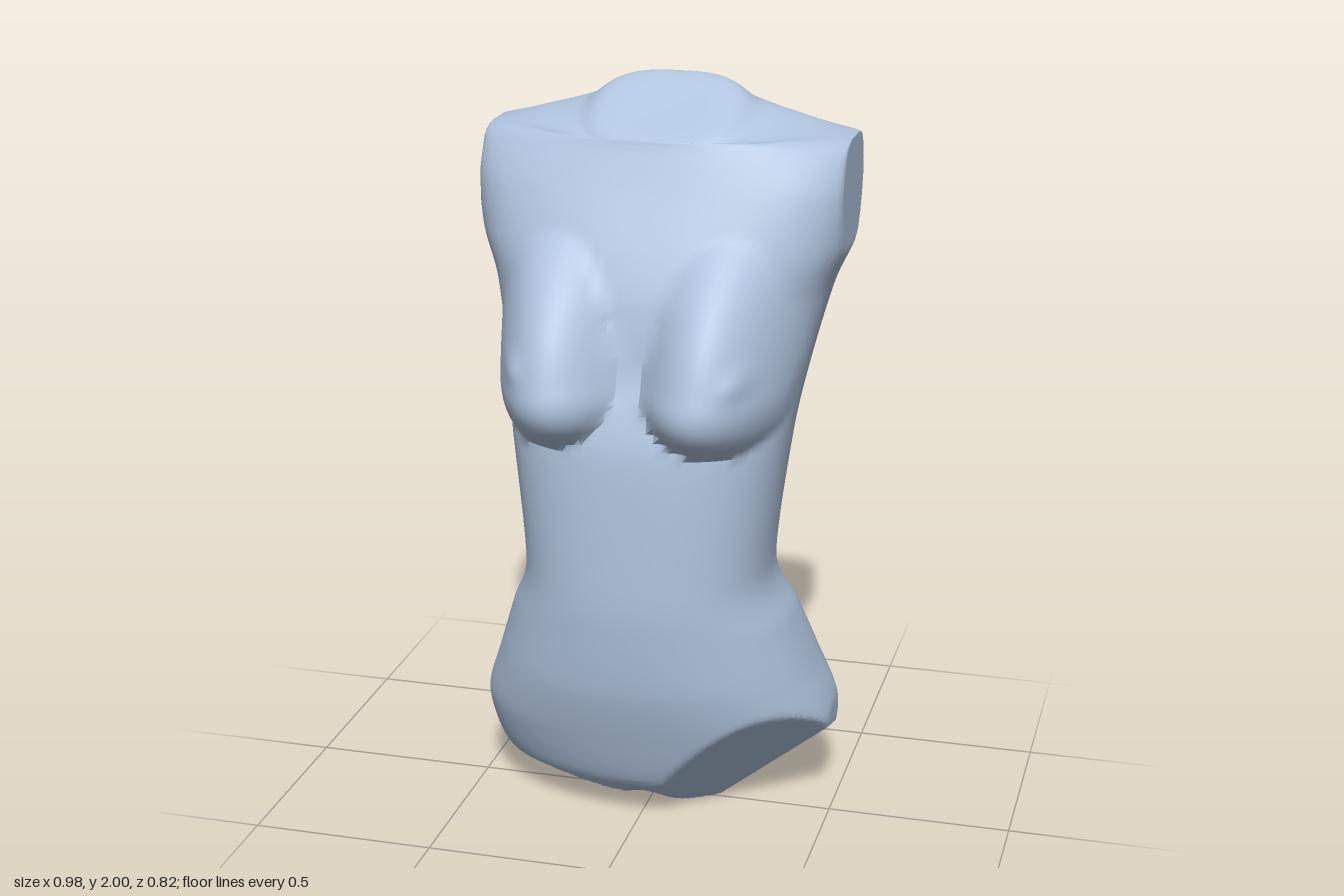
import * as THREE from 'three';
import { toCreasedNormals } from 'three/addons/utils/BufferGeometryUtils.js';

// Cross-sections from bottom to top:
// height, half width, front z, side z, back z, front and back squareness
const SECTIONS = [
  [0.00, 0.02, -0.10, -0.12, -0.14, 2, 2],
  [0.00, 0.25, 0.02, -0.15, -0.30, 2, 2],
  [0.03, 0.38, 0.12, -0.13, -0.35, 2, 2.2],
  [0.12, 0.465, 0.21, -0.10, -0.395, 2.1, 2.4],
  [0.27, 0.495, 0.27, -0.08, -0.415, 2.2, 2.4],
  [0.42, 0.445, 0.315, -0.05, -0.375, 2.3, 2.4],
  [0.58, 0.39, 0.337, -0.01, -0.30, 2.3, 2.4],
  [0.73, 0.335, 0.345, 0.04, -0.255, 2.4, 2.4],
  [1.10, 0.375, 0.33, 0.02, -0.29, 2.4, 2.4],
  [1.30, 0.41, 0.27, -0.05, -0.325, 2.4, 2.5],
  [1.48, 0.452, 0.235, -0.12, -0.385, 2.4, 2.7],
  [1.60, 0.50, 0.19, -0.16, -0.395, 2.5, 3.2],
  [1.75, 0.52, 0.115, -0.165, -0.375, 2.7, 4.5],
  [1.85, 0.52, 0.07, -0.18, -0.33, 2.2, 4.5],
  [1.885, 0.40, 0.06, -0.16, -0.31, 2.1, 3.2],
  [1.905, 0.25, 0.055, -0.12, -0.29, 2.4, 2.8],
  [1.93, 0.17, 0.05, -0.09, -0.23, 2.6, 2.8],
  [1.93, 0.01, -0.08, -0.09, -0.10, 2, 2],
];
const STEPS = 10, SIDES = 128;
const smooth = THREE.MathUtils.smoothstep;
const bell = (v, width) => Math.exp(-((v / width) ** 2));

// Smooth curve through three columns of the section table
const column = (a, b, c) => new THREE.CatmullRomCurve3(
  SECTIONS.map((s) => new THREE.Vector3(s[a], s[b], s[c])), false, 'catmullrom', 0.4);

// Raised bust shape: long upper slope, full lower curve
function bust(x, y) {
  const dx = (Math.abs(x) - 0.23) / 0.19, dy = y - 1.27;
  const d2 = dx * dx + (dy / (dy > 0 ? 0.38 : 0.165)) ** 2;
  if (d2 >= 1) return 0;
  return 0.16 * (1 - d2) ** (0.9 + 0.35 * smooth(dy, -0.05, 0.2));
}

// Flatten whatever lies beyond a plane
function trim(p, normal, offset, weight) {
  const over = p.dot(normal) - offset;
  if (over > 0) p.addScaledVector(normal, -over * weight);
}

const leftCut = new THREE.Vector3(0.5, -0.6, 0.6).normalize();
const leftOuterCut = new THREE.Vector3(0.6, -0.75, 0.2).normalize();
const rightCut = new THREE.Vector3(-0.2, -0.8, 0.3).normalize();

function shapePoint(p, front) {
  const { x, y } = p;
  if (front > 0) {
    // Bust with a small tip
    const mask = smooth(front, 0, 0.3);
    p.z += mask * (bust(x, y) + 0.018 * bell(Math.abs(x) - 0.295, 0.03) * bell(y - 1.32, 0.035));
  } else {
    // Spine groove and the cleft below it
    const mask = smooth(-front, 0, 0.4);
    p.z += mask * 0.035 * bell(x, 0.13) * smooth(y, 0.4, 0.75) * (1 - smooth(y, 1.6, 1.88));
    p.z += mask * 0.06 * bell(x, 0.09) * (1 - smooth(y, 0.3, 0.62));
  }
  // Raised underside between the thighs
  p.y += 0.025 * bell(x, 0.07) * (1 - smooth(y, 0, 0.12));
  // Angled thigh ends and flat arm ends
  if (y < 0.6) {
    const left = smooth(x, 0, 0.08);
    trim(p, leftCut, 0.09, left);
    trim(p, leftOuterCut, 0.11, left);
    trim(p, rightCut, 0.015, smooth(-x, 0, 0.08));
  }
  p.x = THREE.MathUtils.clamp(p.x, -0.49, 0.49);
  p.y = Math.max(p.y, 0);
}

function torsoGeometry() {
  const size = column(0, 1, 1), depth = column(2, 3, 4), form = column(5, 6, 6);
  const rows = (SECTIONS.length - 1) * STEPS;
  const positions = [], index = [], p = new THREE.Vector3();
  for (let j = 0; j <= rows; j++) {
    const t = j / rows;
    const { x: height, y: width } = size.getPoint(t);
    const { x: zFront, y: zSide, z: zBack } = depth.getPoint(t);
    const { x: squareFront, y: squareBack } = form.getPoint(t);
    // The neck end leans forward
    const tilt = -0.5 * smooth(height, 1.87, 1.93);
    for (let i = 0; i < SIDES; i++) {
      const a = (i / SIDES) * Math.PI * 2, c = Math.cos(a), s = Math.sin(a);
      const e = 2 / (s > 0 ? squareFront : squareBack);
      const reach = s > 0 ? zFront - zSide : zSide - zBack;
      const z = Math.sign(s) * Math.abs(s) ** e * reach;
      p.set(Math.sign(c) * Math.abs(c) ** e * width, height + tilt * z, zSide + z);
      shapePoint(p, s);
      positions.push(p.x, p.y, p.z);
      if (j < rows) {
        const n = (i + 1) % SIDES, lo = j * SIDES, hi = lo + SIDES;
        index.push(lo + i, hi + i, lo + n, hi + i, hi + n, lo + n);
      }
    }
  }
  // Close the tiny openings at both ends
  const top = rows * SIDES;
  for (let i = 1; i < SIDES - 1; i++) {
    index.push(0, i, i + 1, top, top + i + 1, top + i);
  }
  const geometry = new THREE.BufferGeometry();
  geometry.setAttribute('position', new THREE.Float32BufferAttribute(positions, 3));
  geometry.setIndex(index);
  return toCreasedNormals(geometry, 0.7);
}

export function createModel() {
  const stone = new THREE.MeshStandardMaterial({ color: 0xb0c4de });
  stone.name = 'blue grey stone';
  const torso = new THREE.Mesh(torsoGeometry(), stone);
  torso.name = 'torso';
  const model = new THREE.Group();
  model.name = 'torsoSculpture';
  model.add(torso);
  return model;
}
